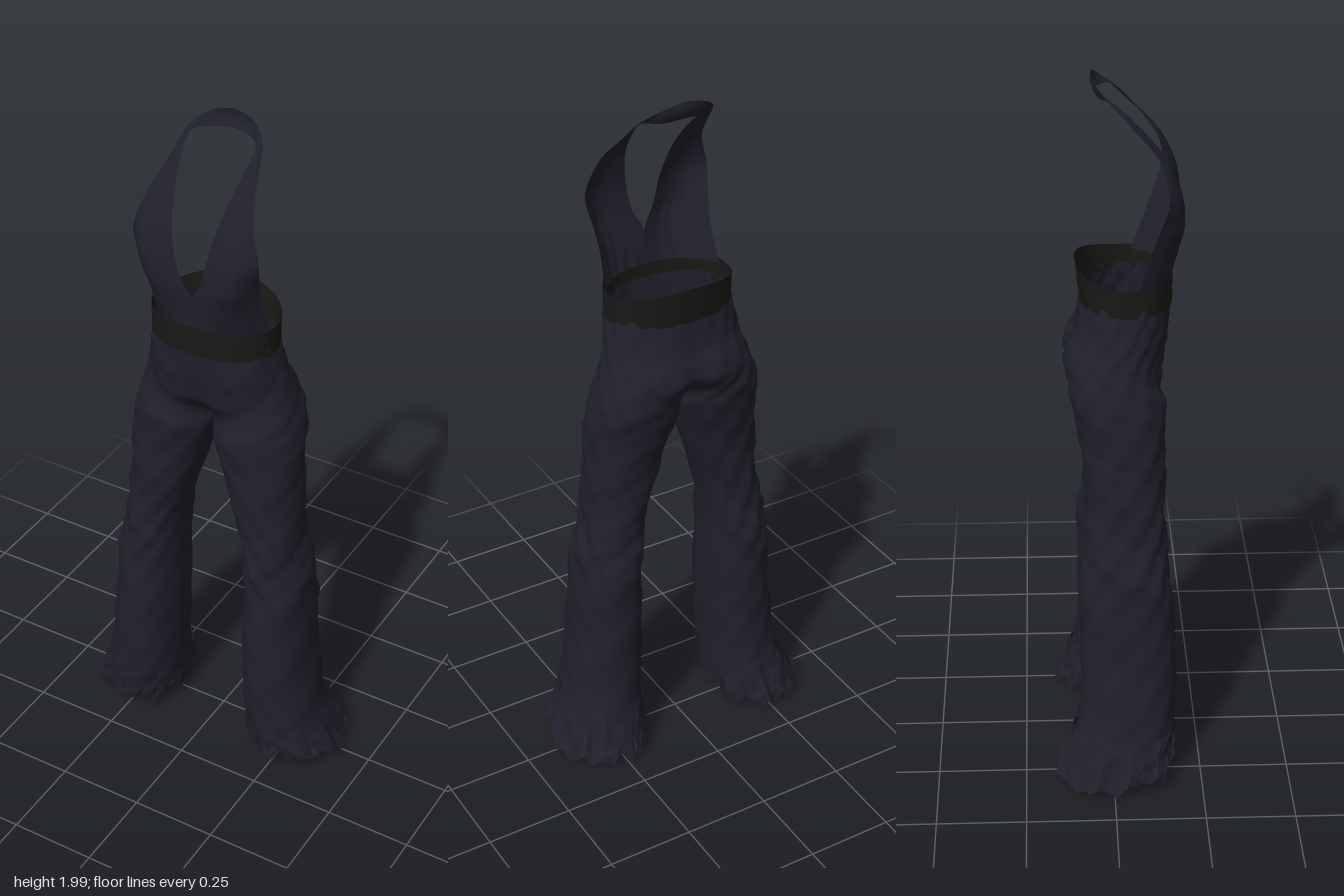
import * as THREE from 'three';

const { lerp, smoothstep } = THREE.MathUtils;

const fabric = new THREE.MeshStandardMaterial({ color: 0x20202c, side: THREE.DoubleSide });
fabric.name = 'navy fabric';
const belt = new THREE.MeshStandardMaterial({ color: 0x191917, side: THREE.DoubleSide });
belt.name = 'black waistband';

// Surface from a rule: point(u, v) gives [x, y, z] for u, v in 0..1
function surface(name, material, nu, nv, point, flat = false) {
  const pos = [], index = [];
  for (let j = 0; j <= nv; j++)
    for (let i = 0; i <= nu; i++) pos.push(...point(i / nu, j / nv, i, j));
  for (let j = 0; j < nv; j++)
    for (let i = 0; i < nu; i++) {
      const a = j * (nu + 1) + i, b = a + nu + 1;
      index.push(a, b, a + 1, a + 1, b, b + 1);
    }
  let g = new THREE.BufferGeometry();
  g.setAttribute('position', new THREE.Float32BufferAttribute(pos, 3));
  g.setIndex(index);
  if (flat) g = g.toNonIndexed();
  g.computeVertexNormals();
  const mesh = new THREE.Mesh(g, material);
  mesh.name = name;
  return mesh;
}

// Blend between the rows of a table at position f in 0..1
function blendRows(rows, f) {
  const k = Math.min(Math.floor(f * (rows.length - 1)), rows.length - 2);
  const t = f * (rows.length - 1) - k;
  const at = n => rows[Math.max(0, Math.min(rows.length - 1, n))];
  return rows[k].map((p1, c) => {
    const p0 = at(k - 1)[c], p2 = at(k + 1)[c], p3 = at(k + 2)[c];
    return p1 + 0.5 * t * (p2 - p0 + t * (2 * p0 - 5 * p1 + 4 * p2 - p3 + t * (3 * (p1 - p2) + p3 - p0)));
  });
}

function seeded(seed) {
  return () => {
    seed = (seed * 16807) % 2147483647;
    return seed / 2147483647;
  };
}

const soft = (v, e) => Math.sign(v) * Math.abs(v) ** e;

// Trouser rows: y, inner x, outer x, front z, back z
const trouserRows = [
  [1.40, 0, 0.178, 0.163, -0.08],
  [1.30, 0, 0.195, 0.160, -0.10],
  [1.25, 0, 0.208, 0.152, -0.128],
  [1.20, 0, 0.225, 0.147, -0.14],
  [1.15, 0, 0.240, 0.147, -0.132],
  [1.10, 0, 0.248, 0.148, -0.11],
  [1.00, 0.03, 0.255, 0.145, -0.085],
  [0.90, 0.06, 0.260, 0.145, -0.075],
  [0.80, 0.092, 0.266, 0.145, -0.07],
  [0.70, 0.112, 0.280, 0.150, -0.08],
  [0.60, 0.12, 0.300, 0.160, -0.09],
  [0.40, 0.12, 0.312, 0.175, -0.09],
  [0.20, 0.125, 0.338, 0.175, -0.095],
  [0.09, 0.125, 0.365, 0.168, -0.125],
];

// Half pelvis that closes into a round leg below the crotch
function trouserPoint(side, u, v) {
  const [y, xi0, xo, zf, zb] = blendRows(trouserRows, v);
  const xi = Math.max(0, xi0);
  const a = (u * 2 - 1) * Math.PI, t = a / 2;
  const cz = (zf + zb) / 2, rz = (zf - zb) / 2;
  const w = smoothstep(y, 1.09, 1.22);
  const hipX = xo * soft(Math.cos(t), 0.9), hipZ = cz + rz * soft(Math.sin(t), 0.9);
  const legX = (xi + xo) / 2 + (xo - xi) / 2 * soft(Math.cos(a), 0.88);
  const legZ = cz + rz * soft(Math.sin(a), 0.88);
  let x = lerp(legX, hipX, w), z = lerp(legZ, hipZ, w);
  // centre seam crease
  const crease = Math.exp(-((x / 0.04) ** 2)) * Math.exp(-(((y - 1.2) / 0.09) ** 2)) * w;
  z += crease * (t < 0 ? 0.022 : -0.008);
  // soft folds, strongest at knee and hem
  const knee = 1 + 0.8 * Math.exp(-(((y - 0.66) / 0.12) ** 2));
  const fold = knee * (0.0025 * Math.sin(3 * a + 31 * y) + 0.002 * Math.sin(8 * a - 47 * y + side)
    + 0.0015 * Math.sin(5 * a + 90 * y));
  x = Math.max(0, x + fold * Math.cos(t) * Math.cos(a));
  z += fold * Math.sin(a);
  return [side * x, y, z];
}

// Ragged, flared hem layer
function hemLayer(side, layer) {
  const n = 44, rand = seeded(91 + layer * 57 + (side > 0 ? 13 : 0));
  const jag = Array.from({ length: n }, () => rand());
  const flare = Array.from({ length: n }, () => rand());
  const top = 0.15 - layer * 0.035, scale = 1 - layer * 0.03;
  return surface('raggedHem', fabric, n, 4, (u, v, i) => {
    const a = u * Math.PI * 2, k = i % n, c = Math.cos(a), s = Math.sin(a);
    const outer = Math.max(0, c);
    const rx = lerp(0.114, 0.128 + 0.012 * outer, v) * scale;
    const rz = lerp(0.143, 0.165, v) * scale;
    const ruffle = 1 + v * (0.12 * (flare[k] - 0.5) + 0.04 * Math.sin(9 * a + layer)) + 0.02 * Math.sin(v * 9 + k);
    const bottom = 0.035 + 0.02 * s - 0.012 * outer + layer * 0.012 + 0.05 * (jag[k] - 0.5);
    return [
      side * (lerp(0.238, 0.262, v) + rx * soft(c, 0.88) * ruffle),
      Math.max(0.004, lerp(top + 0.012 * (jag[k] - 0.5), bottom, v)),
      lerp(0.032, 0.004, v) + rz * soft(s, 0.88) * ruffle,
    ];
  }, true);
}

// Halter rows: inner edge x y z, outer edge x y z, outward bulge
const halterRows = [
  [0, 1.44, 0.163, 0.178, 1.44, 0.065, 0.028],
  [0, 1.54, 0.165, 0.171, 1.54, 0.098, 0.042],
  [0.033, 1.61, 0.172, 0.177, 1.61, 0.122, 0.042],
  [0.054, 1.70, 0.168, 0.187, 1.70, 0.148, 0.026],
  [0.075, 1.80, 0.130, 0.156, 1.80, 0.124, 0.012],
  [0.090, 1.88, 0.068, 0.130, 1.88, 0.055, 0.006],
  [0.096, 1.935, 0.010, 0.106, 1.95, -0.012, 0.005],
  [0.060, 1.942, -0.030, 0.056, 1.985, -0.044, -0.004],
  [0, 1.948, -0.042, 0, 1.998, -0.050, -0.006],
];

function halterPoint(side, u, v) {
  const [xi, yi, zi, xo, yo, zo, bulge] = blendRows(halterRows, v);
  const b = bulge * Math.sin(Math.PI * u);
  const pleat = 0.003 * Math.sin(u * 34) * Math.sin(Math.PI * u) * Math.max(0, 1 - v * 2.5);
  return [
    side * Math.max(0, lerp(xi, xo, u) + 0.45 * b * (v < 0.5 ? 1 : 0.2)),
    lerp(yi, yo, u),
    lerp(zi, zo, u) + b + pleat,
  ];
}

export function createModel() {
  const model = new THREE.Group();
  model.name = 'halterJumpsuit';

  for (const side of [1, -1]) {
    const half = new THREE.Group();
    half.name = side > 0 ? 'leftHalf' : 'rightHalf';
    half.add(surface('trouserLeg', fabric, 56, 78, (u, v) => trouserPoint(side, u, v)));
    for (const layer of [0, 1]) half.add(hemLayer(side, layer));
    half.add(surface('halterPanel', fabric, 20, 48, (u, v) => halterPoint(side, u, v)));
    model.add(half);
  }

  // Waistband, rising at the back
  model.add(surface('waistband', belt, 64, 5, (u, v) => {
    const a = u * Math.PI * 2, s = Math.sin(a), c = Math.cos(a);
    const back = Math.max(0, -c);
    const top = 1.452 + 0.008 * Math.max(0, c) + 0.032 * back ** 2;
    return [
      0.182 * soft(s, 0.9),
      lerp(1.375, top, v),
      0.042 + (0.126 + 0.012 * v * back) * soft(c, 0.9) + 0.001 * Math.sin(v * 12),
    ];
  }));

  return model;
}
